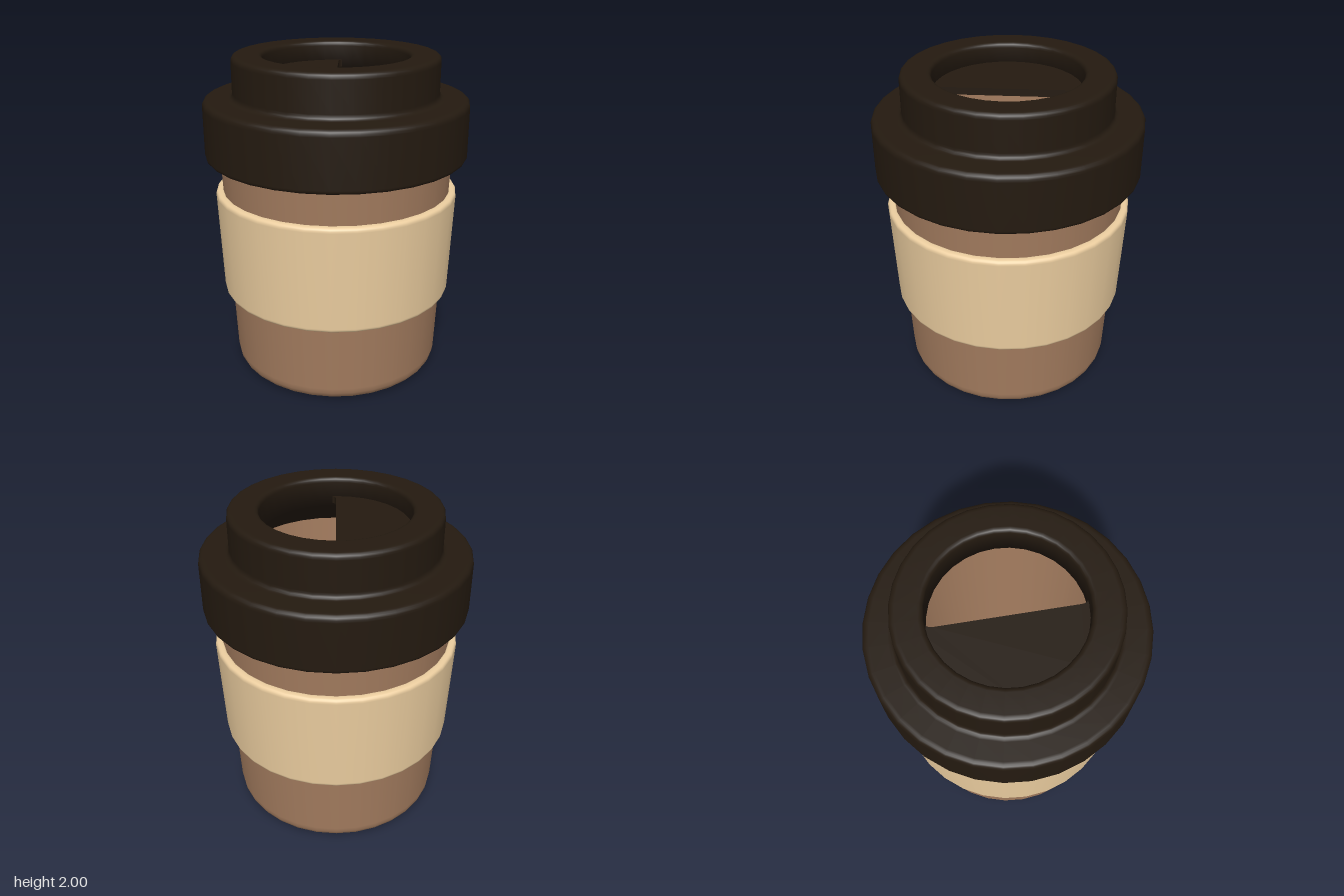
import * as THREE from 'three';

const SIDES = 32;

// Turns [radius, height, fillet] corners into a rounded profile and spins it.
function turned(name, color, corners) {
  const path = new THREE.Path();
  corners.forEach(([r, y, f = 0], i) => {
    const p = new THREE.Vector2(r, y);
    if (i === 0) return path.moveTo(r, y);
    if (!f || i === corners.length - 1) return path.lineTo(r, y);
    const toward = (c) => new THREE.Vector2(c[0], c[1]).sub(p).setLength(f).add(p);
    const a = toward(corners[i - 1]), b = toward(corners[i + 1]);
    path.lineTo(a.x, a.y);
    path.quadraticCurveTo(r, y, b.x, b.y);
  });
  const geometry = new THREE.LatheGeometry(path.getPoints(5), SIDES);
  return part(name, color, geometry);
}

function part(name, color, geometry) {
  const mesh = new THREE.Mesh(geometry, new THREE.MeshStandardMaterial({ color, side: THREE.DoubleSide }));
  mesh.name = name;
  return mesh;
}

export function createModel() {
  const group = new THREE.Group();
  group.name = 'travelCup';
  const brown = 0xa27b5e, cream = 0xebcd9f, dark = 0x241a10;

  // Hollow tapered cup: underside, outer wall, rim, inner wall, inner floor
  group.add(turned('cup', brown, [
    [0, 0], [0.655, 0, 0.09], [0.727, 1.66, 0.02], [0.68, 1.66, 0.02],
    [0.61, 0.06, 0.09], [0, 0.06],
  ]));

  // Heat sleeve wrapped round the middle of the cup
  group.add(turned('sleeve', cream, [
    [0.69, 0.85], [0.675, 0.515], [0.725, 0.515, 0.025], [0.752, 1.18, 0.03],
    [0.705, 1.18, 0.01], [0.69, 0.85],
  ]));

  // Lid: skirt, shoulder, raised ring, drinking well and hollow underside
  group.add(turned('lid', dark, [
    [0.72, 1.5], [0.72, 1.39, 0.01], [0.805, 1.39, 0.025], [0.805, 1.745, 0.04],
    [0.625, 1.745, 0.035], [0.625, 2, 0.035], [0.442, 2, 0.03], [0.442, 1.82],
    [0.57, 1.82], [0.57, 1.68], [0.728, 1.68], [0.72, 1.5],
  ]));

  // Floor of the drinking well with a rounded D-shaped opening on one side
  const floor = new THREE.Shape().absarc(0, 0, 0.5, 0, Math.PI * 2, false);
  const opening = new THREE.Path();
  const R = 0.444, tilt = Math.PI / 2 - 0.08;
  opening.moveTo(0, -0.4);
  opening.quadraticCurveTo(0, -R, R * Math.cos(tilt), -R * Math.sin(tilt));
  opening.absarc(0, 0, R, -tilt, tilt, false);
  opening.quadraticCurveTo(0, R, 0, 0.4);
  opening.closePath();
  floor.holes.push(opening);
  const slab = new THREE.ExtrudeGeometry(floor, { depth: 0.045, bevelEnabled: false, curveSegments: 16 });
  slab.rotateX(-Math.PI / 2).translate(0, 1.835, 0);
  group.add(part('lidFloor', dark, slab));

  return group;
}
